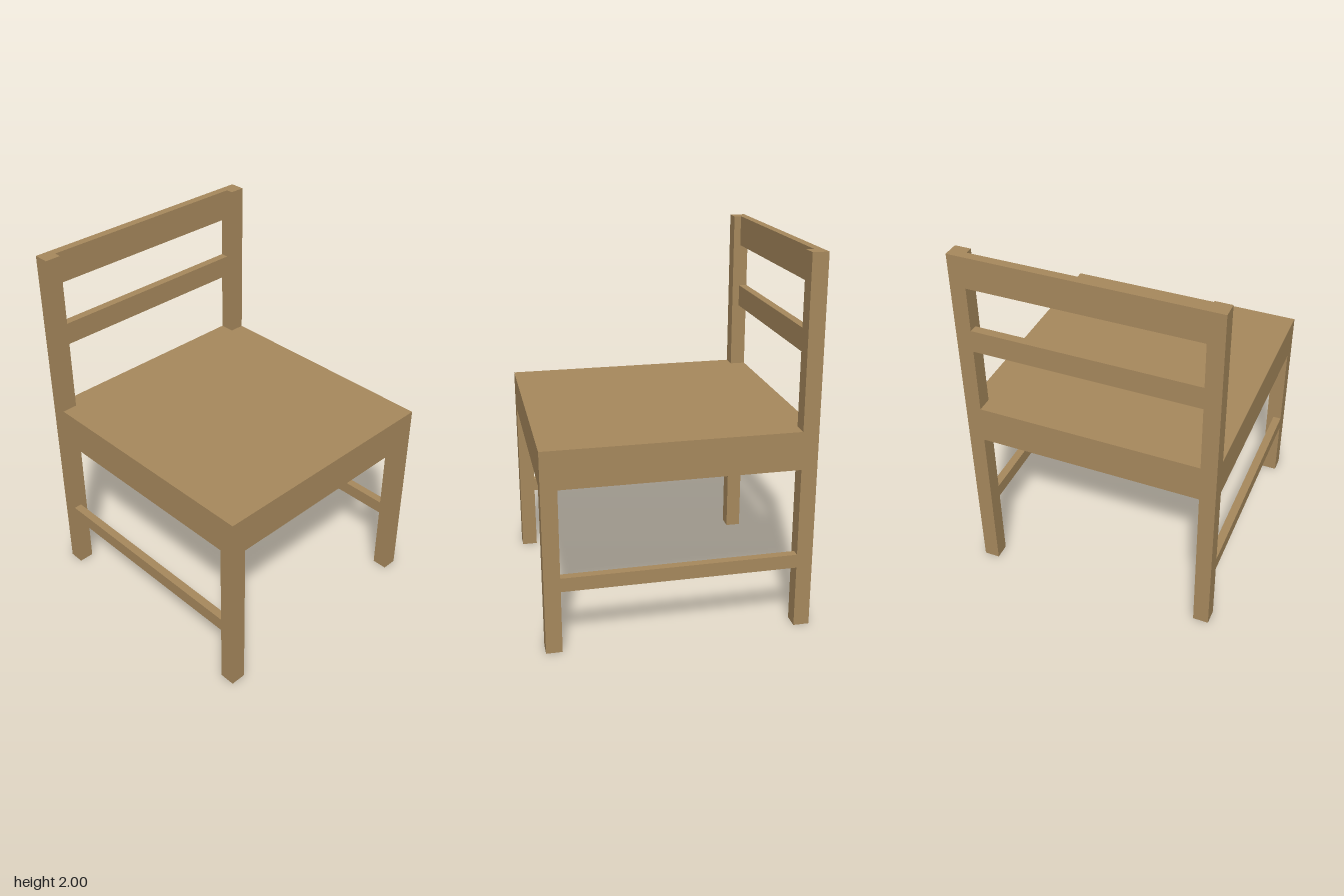
import * as THREE from 'three';

export function createModel() {
  const chair = new THREE.Group();
  chair.name = 'chair';
  const wood = new THREE.MeshStandardMaterial({ color: 0xa6885c });
  wood.name = 'light wood';

  const W = 0.683, D = 0.706; // half width, half depth
  const leg = 0.085, board = 0.045; // leg section, board thickness
  const seatTop = 1.1, seatThick = 0.04, seatUnder = seatTop - seatThick;
  const innerX = W - leg, innerZ = D - leg;

  // Box given by its lower and upper corners
  function box(name, x0, x1, y0, y1, z0, z1) {
    const mesh = new THREE.Mesh(new THREE.BoxGeometry(x1 - x0, y1 - y0, z1 - z0), wood);
    mesh.position.set((x0 + x1) / 2, (y0 + y1) / 2, (z0 + z1) / 2);
    mesh.name = name;
    chair.add(mesh);
  }

  // Legs, side aprons and side stretchers, mirrored left and right
  for (const [side, s] of [['left', 1], ['right', -1]]) {
    const sideBox = (name, thick, y0, y1, z0, z1) => {
      const a = s * W, b = s * (W - thick);
      box(side + name, Math.min(a, b), Math.max(a, b), y0, y1, z0, z1);
    };
    sideBox('FrontLeg', leg, 0, seatUnder, innerZ, D);
    sideBox('BackPost', leg, 0, 2, -D, -innerZ);
    sideBox('Apron', board, 0.895, seatUnder, -innerZ, innerZ);
    sideBox('Stretcher', board, 0.343, 0.418, -innerZ, innerZ);
  }

  // Front and back aprons
  box('frontApron', -innerX, innerX, 0.895, seatUnder, D - board, D);
  box('backApron', -innerX, innerX, 0.895, seatUnder, -D, -D + board);

  // Back rails, flush with the rear of the posts
  box('topRail', -innerX, innerX, 1.83, 2, -D, -D + board);
  box('middleRail', -innerX, innerX, 1.465, 1.588, -D, -D + board);

  // Seat panel, notched around the back posts (shape y becomes -z)
  const outline = new THREE.Shape([
    [-W, -D], [W, -D], [W, innerZ], [innerX, innerZ],
    [innerX, D], [-innerX, D], [-innerX, innerZ], [-W, innerZ],
  ].map(([x, y]) => new THREE.Vector2(x, y)));
  const seatGeometry = new THREE.ExtrudeGeometry(outline, { depth: seatThick, bevelEnabled: false });
  seatGeometry.rotateX(-Math.PI / 2);
  const seat = new THREE.Mesh(seatGeometry, wood);
  seat.position.y = seatUnder;
  seat.name = 'seat';
  chair.add(seat);

  return chair;
}
